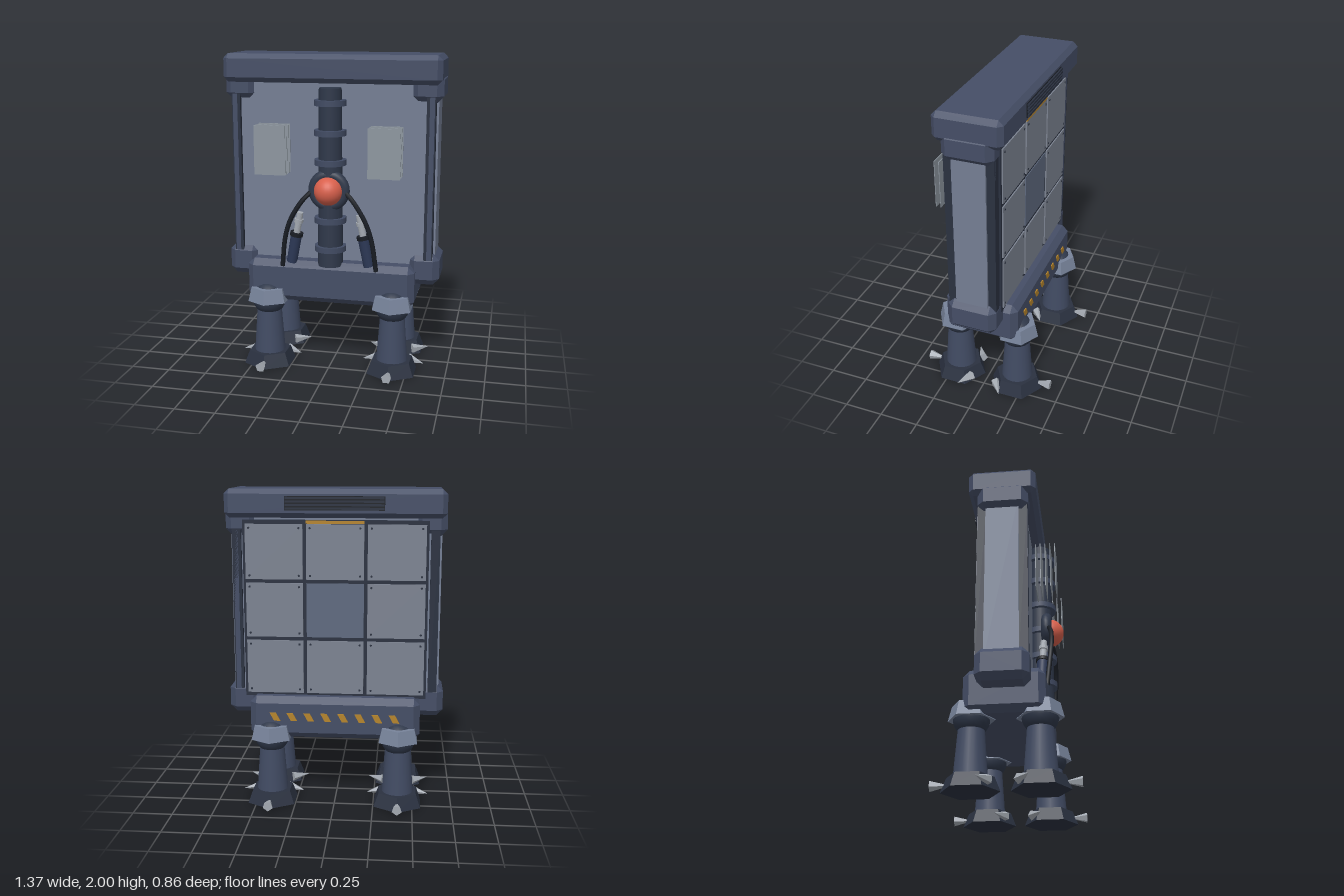
import * as THREE from 'three';
import { ConvexGeometry } from 'three/addons/geometries/ConvexGeometry.js';

const mat = (color, flatShading = false) => new THREE.MeshStandardMaterial({ color, flatShading });
const M = {
  armour: mat(0x454e66, true), dark: mat(0x2a3140, true), black: mat(0x191d24),
  panel: mat(0x747e93, true), hip: mat(0x77839a, true), leg: mat(0x414b63),
  pipe: mat(0x2f384a), tile: mat(0x7c8391, true), screen: mat(0x5f6a7f, true),
  steel: mat(0xa3a9b1, true), card: mat(0x8d969f, true), blue: mat(0x2c3856),
  orange: mat(0xb5842c, true), eye: mat(0xd8604c),
};

function add(parent, name, geo, material, x = 0, y = 0, z = 0) {
  const mesh = new THREE.Mesh(geo, material);
  mesh.name = name;
  mesh.position.set(x, y, z);
  parent.add(mesh);
  return mesh;
}

// Box with every edge and corner cut off by c
function chamferBox(w, h, d, c) {
  const pts = [];
  for (const sx of [-1, 1]) for (const sy of [-1, 1]) for (const sz of [-1, 1]) {
    const x = w / 2, y = h / 2, z = d / 2;
    pts.push(new THREE.Vector3(sx * x, sy * (y - c), sz * (z - c)),
      new THREE.Vector3(sx * (x - c), sy * y, sz * (z - c)),
      new THREE.Vector3(sx * (x - c), sy * (y - c), sz * z));
  }
  return new ConvexGeometry(pts);
}

const box = (w, h, d) => new THREE.BoxGeometry(w, h, d);

// Cylinder running between two points
function rod(parent, name, a, b, ra, rb, material) {
  const dir = b.clone().sub(a);
  const mesh = add(parent, name, new THREE.CylinderGeometry(rb, ra, dir.length(), 16), material);
  mesh.position.copy(a).addScaledVector(dir, 0.5);
  mesh.quaternion.setFromUnitVectors(new THREE.Vector3(0, 1, 0), dir.normalize());
  return mesh;
}

function buildLeg(sx, sz) {
  const leg = new THREE.Group();
  leg.name = 'leg';
  leg.position.set(sx * 0.405, 0, sz * 0.2);
  add(leg, 'foot', new THREE.CylinderGeometry(0.138, 0.172, 0.085, 6), M.dark, 0, 0.0425);
  add(leg, 'shin', new THREE.CylinderGeometry(0.075, 0.1, 0.34, 20), M.leg, 0, 0.25);
  add(leg, 'hipBall', new THREE.SphereGeometry(0.11, 20, 14), M.pipe, 0, 0.437);
  add(leg, 'hipCollar', new THREE.CylinderGeometry(0.118, 0.14, 0.09, 6), M.hip, 0, 0.47);
  // Three claws around the foot
  for (const a of [0, 1, 2].map(i => i * Math.PI * 2 / 3)) {
    const claw = add(leg, 'claw', new THREE.ConeGeometry(0.033, 0.12, 5), M.steel,
      Math.sin(a) * 0.17, 0.042, Math.cos(a) * 0.17 * sz);
    const dir = new THREE.Vector3(Math.sin(a), 0, -Math.cos(a) * sz);
    claw.quaternion.setFromUnitVectors(new THREE.Vector3(0, 1, 0), dir);
  }
  return leg;
}

function buildBody(g) {
  add(g, 'topCap', chamferBox(1.36, 0.175, 0.42, 0.03), M.armour, 0, 1.9125, 0);
  add(g, 'base', chamferBox(1.08, 0.27, 0.48, 0.04), M.armour, 0, 0.565, 0);
  add(g, 'frontPanel', box(1.2, 1.22, 0.26), M.panel, 0, 1.24, 0);
  add(g, 'backPlate', box(1.15, 1.12, 0.04), M.dark, 0, 1.25, -0.14);
  for (const s of [-1, 1]) {
    add(g, 'sidePanel', box(0.06, 1.1, 0.205), M.panel, s * 0.625, 1.24, 0);
    for (const z of [-0.125, 0.128]) {
      add(g, 'cornerPost', box(0.055, 1.1, 0.055), M.dark, s * 0.614, 1.24, z);
      add(g, 'postTrim', box(0.03, 1.1, 0.02), M.armour, s * 0.62, 1.24, z * 1.14);
    }
    add(g, 'upperCorner', chamferBox(0.195, 0.18, 0.315, 0.04), M.armour, s * 0.588, 1.805, 0.003);
    add(g, 'lowerCorner', chamferBox(0.195, 0.2, 0.315, 0.04), M.armour, s * 0.588, 0.67, 0.003);
  }
}

function buildBack(g) {
  // Three by three tiles with corner screws
  for (let i = -1; i <= 1; i++) for (let j = -1; j <= 1; j++) {
    const x = i * 0.38, y = 1.25 + j * 0.365, centre = i === 0 && j === 0;
    add(g, 'backTile', box(0.358, 0.342, 0.02), centre ? M.screen : M.tile, x, y, centre ? -0.155 : -0.158);
    if (centre) continue;
    for (const sx of [-1, 1]) for (const sy of [-1, 1]) {
      const screw = add(g, 'screw', new THREE.CylinderGeometry(0.007, 0.007, 0.008, 8), M.dark,
        x + sx * 0.155, y + sy * 0.147, -0.168);
      screw.rotation.x = Math.PI / 2;
    }
  }
  add(g, 'lightStrip', box(0.36, 0.018, 0.022), M.orange, 0, 1.798, -0.16);
  // Vent slats on the cap
  add(g, 'ventRecess', box(0.61, 0.085, 0.008), M.black, 0, 1.915, -0.21);
  for (let i = 0; i < 4; i++) add(g, 'ventSlat', box(0.6, 0.012, 0.02), M.dark, 0, 1.884 + i * 0.021, -0.215);
  // Slanted warning marks on the base
  const s = new THREE.Shape([[-0.034, -0.026], [0.006, -0.026], [0.034, 0.026], [-0.006, 0.026]]
    .map(p => new THREE.Vector2(...p)));
  const mark = new THREE.ExtrudeGeometry(s, { depth: 0.01, bevelEnabled: false });
  for (let i = 0; i < 8; i++) add(g, 'warningMark', mark, M.orange, (i - 3.5) * 0.108, 0.575, -0.247);
}

function buildFront(g) {
  const z = 0.182;
  add(g, 'spine', new THREE.CylinderGeometry(0.07, 0.08, 1.12, 20), M.pipe, 0, 1.24, z);
  for (let i = 0; i < 6; i++)
    add(g, 'spineRing', new THREE.CylinderGeometry(0.1, 0.1, 0.035, 20), M.leg, 0, 0.795 + i * 0.183, z);
  add(g, 'eyeSocket', new THREE.TorusGeometry(0.098, 0.034, 12, 28), M.pipe, 0, 1.172, 0.222);
  add(g, 'eye', new THREE.SphereGeometry(0.09, 28, 20), M.eye, 0, 1.17, 0.24);
  for (const s of [-1, 1]) {
    // Stack of thin plates
    for (let i = 0; i < 5; i++) add(g, 'plate', box(0.198, 0.305, 0.004), M.card, s * 0.354, 1.422, 0.187 + i * 0.03);
    // Hanging cable
    const path = new THREE.CatmullRomCurve3([[0.1, 1.17, 0.235], [0.16, 1.11, 0.255], [0.235, 0.99, 0.262],
      [0.275, 0.87, 0.255], [0.302, 0.67, 0.235]].map(p => new THREE.Vector3(s * p[0], p[1], p[2])));
    add(g, 'cable', new THREE.TubeGeometry(path, 28, 0.015, 8), M.black);
    // Damper: sleeve, collar and steel rod
    const foot = new THREE.Vector3(s * 0.25, 0.69, 0.198), top = new THREE.Vector3(s * 0.188, 1.02, 0.212);
    const at = t => foot.clone().lerp(top, t);
    rod(g, 'damperSleeve', at(0), at(0.55), 0.034, 0.036, M.blue);
    rod(g, 'damperCollar', at(0.53), at(0.6), 0.042, 0.042, M.black);
    rod(g, 'damperRod', at(0.55), at(1), 0.022, 0.02, M.steel);
    rod(g, 'damperNut', at(0.8), at(0.87), 0.029, 0.029, M.steel);
  }
}

export function createModel() {
  const g = new THREE.Group();
  g.name = 'walkingCabinet';
  buildBody(g);
  buildBack(g);
  buildFront(g);
  for (const sx of [-1, 1]) for (const sz of [-1, 1]) g.add(buildLeg(sx, sz));
  return g;
}
